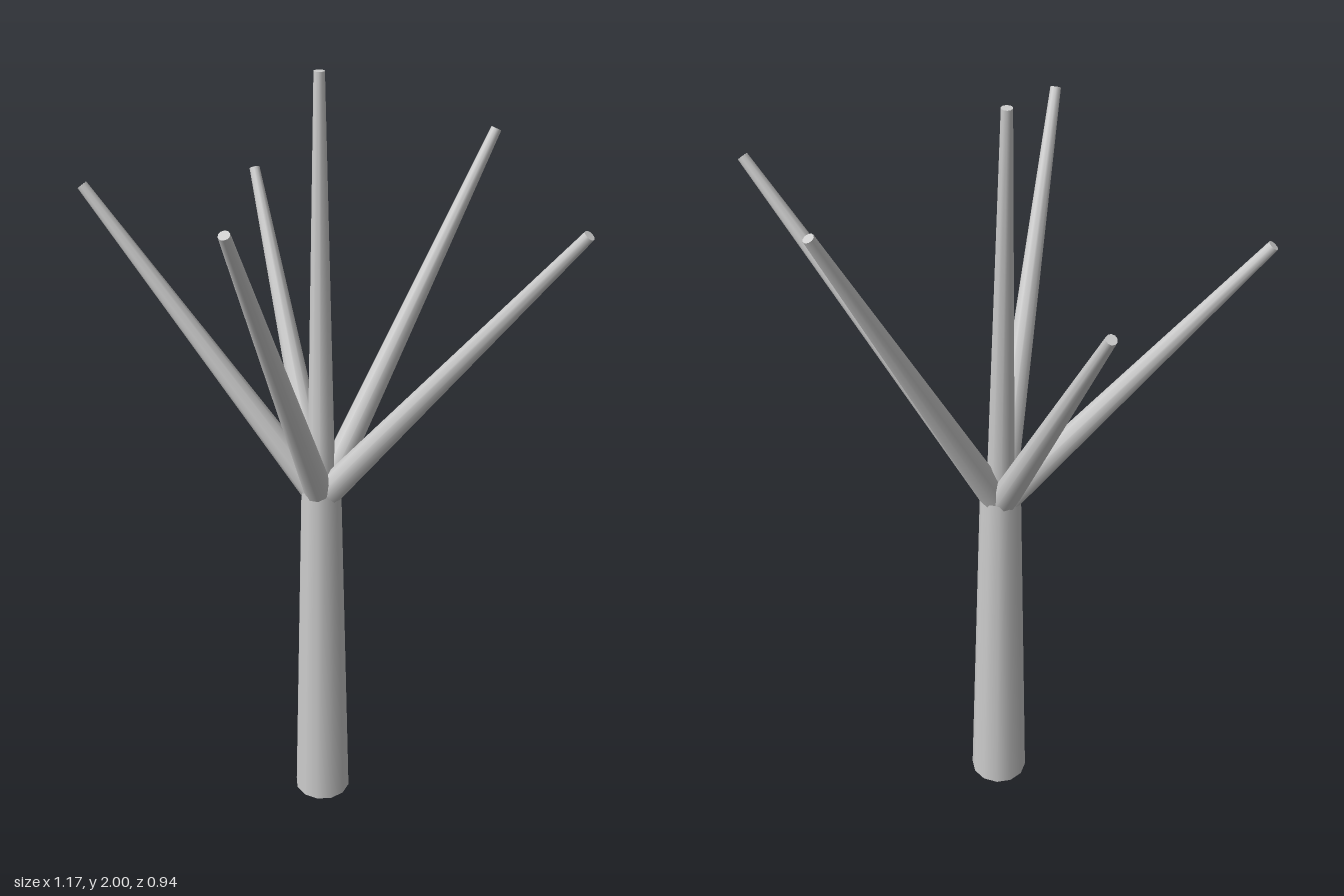
import * as THREE from 'three';

export function createModel() {
  const model = new THREE.Group();
  const bark = new THREE.MeshStandardMaterial({ color: 0xcccccc });
  bark.name = 'bareBark';

  // Tapered trunk, a hollow shell open at the foot
  const trunk = new THREE.Mesh(new THREE.CylinderGeometry(0.051, 0.075, 0.97, 12, 1, true), bark);
  trunk.name = 'trunk';
  trunk.position.set(-0.05, 0.485, -0.02);
  model.add(trunk);

  // Straight tapered branches fanning out from the trunk top
  const fork = new THREE.Vector3(-0.05, 0.94, -0.02);
  const up = new THREE.Vector3(0, 1, 0);
  const tips = {
    leaderBranch: [-0.087, 2.0, -0.061],
    backBranch: [0.118, 1.82, -0.46],
    leftBranch: [0.574, 1.757, -0.15],
    frontBranch: [0.115, 1.82, 0.457],
    rightFrontBranch: [-0.576, 1.707, 0.228],
    rightBackBranch: [-0.447, 1.662, -0.226],
  };
  for (const [name, tip] of Object.entries(tips)) {
    const axis = new THREE.Vector3(...tip).sub(fork);
    const length = axis.length();
    const branch = new THREE.Mesh(new THREE.CylinderGeometry(0.013, 0.037, length, 10), bark);
    branch.name = name;
    branch.position.copy(fork).addScaledVector(axis, 0.5);
    branch.quaternion.setFromUnitVectors(up, axis.normalize());
    model.add(branch);
  }
  return model;
}
